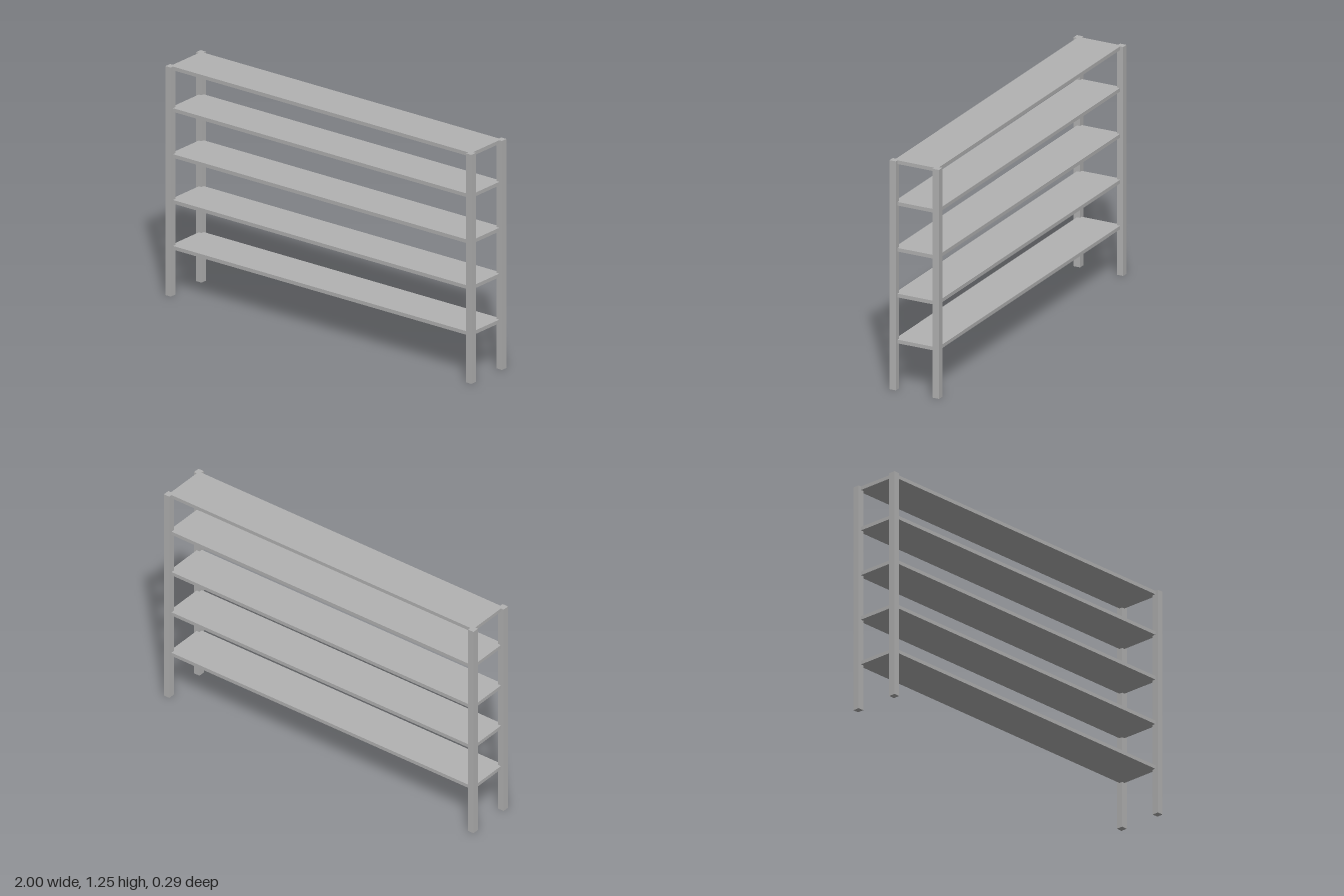
import * as THREE from 'three';

export function createModel() {
  const group = new THREE.Group();
  const grey = new THREE.MeshStandardMaterial({ color: 0xb2b2b2 });
  grey.name = 'grey';

  const height = 1.255, halfWidth = 1, halfDepth = 0.144;
  const postWidth = 0.035, postDepth = 0.037, thickness = 0.02;

  function box(name, w, h, d, x, y, z) {
    const mesh = new THREE.Mesh(new THREE.BoxGeometry(w, h, d), grey);
    mesh.name = name;
    mesh.position.set(x, y, z);
    group.add(mesh);
  }

  // Four corner posts
  for (const sx of [-1, 1]) {
    for (const sz of [-1, 1]) {
      const name = (sz > 0 ? 'front' : 'back') + (sx > 0 ? 'Left' : 'Right') + 'Post';
      box(name, postWidth, height, postDepth,
        sx * (halfWidth - postWidth / 2), height / 2, sz * (halfDepth - postDepth / 2));
    }
  }

  // Shelves let halfway into the posts, the highest flush with the post tops
  [0.272, 0.524, 0.775, 1.027, height].forEach((top, i) => {
    box('shelf' + (i + 1), 2 * halfWidth - postWidth, thickness, 2 * halfDepth - postDepth,
      0, top - thickness / 2, 0);
  });

  return group;
}
